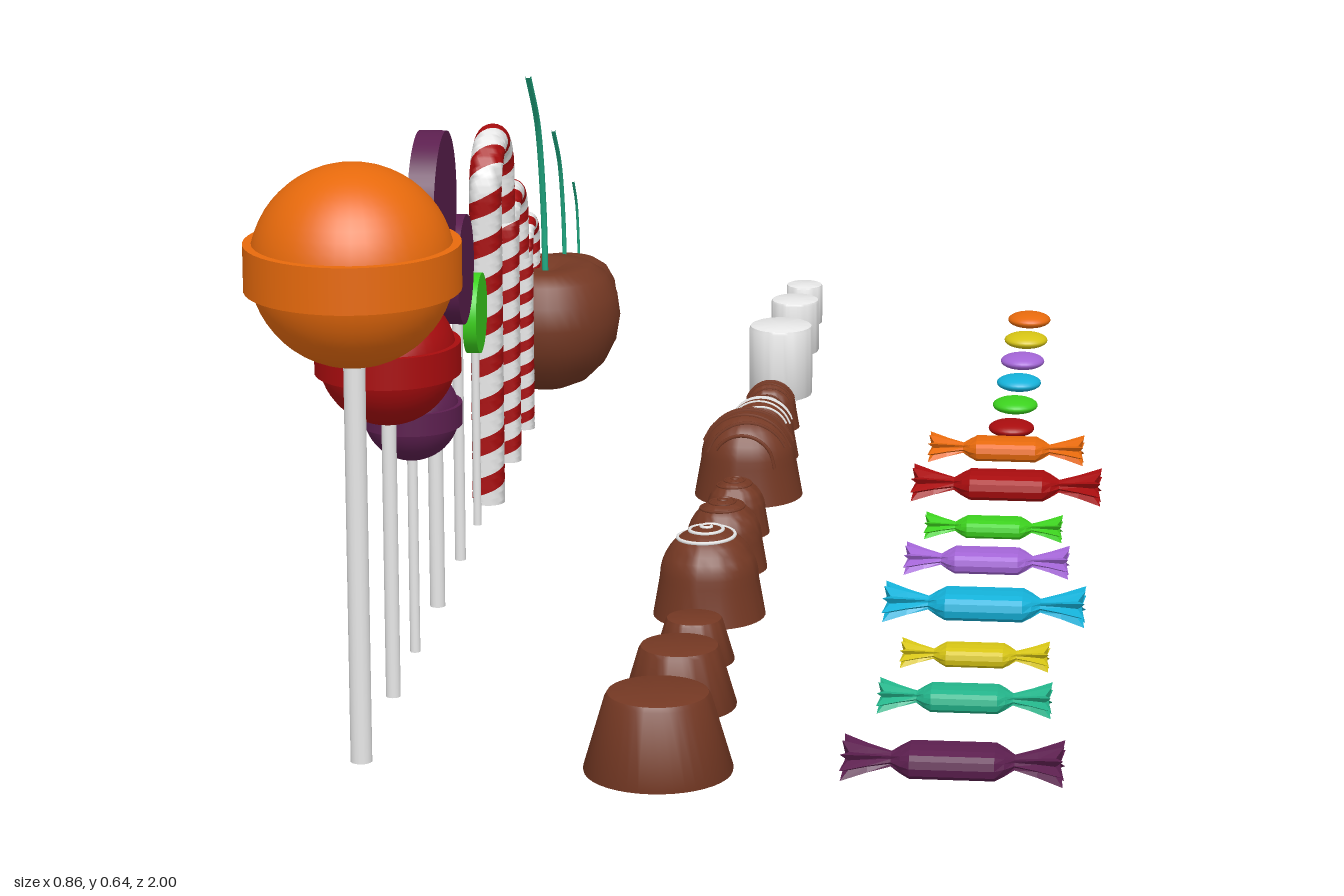
import * as THREE from 'three';
import { toCreasedNormals } from 'three/addons/utils/BufferGeometryUtils.js';

const colours = {
  orange: 0xe86a0c, red: 0xa80c0e, purple: 0x5c1f4f, chocolate: 0x743823, white: 0xe8e8e8,
  green: 0x3cd11e, lavender: 0xa365d6, cyan: 0x14b1d9, yellow: 0xd6c414, teal: 0x23b48a,
};

export function createModel() {
  const root = new THREE.Group();
  root.name = 'sweets';
  const M = {};
  for (const [name, hex] of Object.entries(colours)) {
    M[name] = new THREE.MeshStandardMaterial({ color: hex });
    M[name].name = name;
  }

  const group = (name, x, z) => {
    const g = new THREE.Group();
    g.name = name;
    g.position.set(x, 0, z);
    root.add(g);
    return g;
  };
  const add = (parent, name, geo, mat, y = 0) => {
    const m = new THREE.Mesh(geo, mat);
    m.name = name;
    m.position.y = y;
    parent.add(m);
    return m;
  };
  const lathe = (pts, s = 1, sy = s) => toCreasedNormals(
    new THREE.LatheGeometry(pts.map(([r, y]) => new THREE.Vector2(r * s, y * sy)), 40), 0.6);
  const tube = (pts, r, seg = 24) =>
    new THREE.TubeGeometry(new THREE.CatmullRomCurve3(pts), seg, r, 6);

  // Closed skin through rings of points; pick(j) chooses the material slot of column j
  const loft = (rings, pick = () => 0) => {
    const n = rings[0].length, last = rings.length - 1, slots = [[], []];
    const pts = rings.flat();
    const mid = (ring) => ring.reduce((a, p) => a.add(p), new THREE.Vector3()).divideScalar(n);
    const c0 = pts.push(mid(rings[0])) - 1, c1 = pts.push(mid(rings[last])) - 1;
    for (let j = 0; j < n; j++) {
      const k = (j + 1) % n, out = slots[pick(j)];
      out.push(c0, k, j, c1, last * n + j, last * n + k);
      for (let i = 0; i < last; i++) {
        const a = i * n + j, b = i * n + k;
        out.push(a, b, a + n, b, b + n, a + n);
      }
    }
    const g = new THREE.BufferGeometry().setFromPoints(pts);
    g.setIndex([...slots[0], ...slots[1]]);
    g.addGroup(0, slots[0].length, 0);
    g.addGroup(slots[0].length, slots[1].length, 1);
    return g;
  };

  const X = -0.319;
  const stick = (g, r, h) => add(g, 'stick', new THREE.CylinderGeometry(r, r, h, 16), M.white, h / 2);

  // Ball lollipops with a band round the middle
  for (const [mat, z, y, s] of [['orange', 0.888, 0.535, 1], ['red', 0.676, 0.382, 0.7], ['purple', 0.521, 0.276, 0.5]]) {
    const g = group('ballLollipop', X, z);
    stick(g, 0.0115 * s, y - 0.06 * s);
    add(g, 'ball', new THREE.SphereGeometry(0.106 * s, 40, 28), M[mat], y);
    add(g, 'band', new THREE.CylinderGeometry(0.112 * s, 0.112 * s, 0.049 * s, 48), M[mat], y);
  }

  // Flat lollipops, discs facing sideways
  for (const [mat, z, y, r, t] of [['purple', 0.354, 0.468, 0.087, 0.03], ['purple', 0.175, 0.352, 0.064, 0.022], ['green', 0.034, 0.263, 0.048, 0.016]]) {
    const g = group('flatLollipop', X, z);
    stick(g, r * 0.1, y - r * 0.7);
    add(g, 'disc', new THREE.CylinderGeometry(r, r, t, 48), M[mat], y).rotation.z = Math.PI / 2;
  }

  // Candy canes: a twisted sweep whose columns carry the stripes
  for (const [z, r, R, yc, drop] of [[-0.064, 0.0198, 0.0575, 0.38, 0.055], [-0.246, 0.0155, 0.044, 0.29, 0.05], [-0.394, 0.0125, 0.034, 0.2285, 0.033]]) {
    const length = yc + Math.PI * R + drop, pitch = r * 2.5, n = 16, rings = [];
    const steps = Math.round(length / pitch * 20);
    for (let i = 0; i <= steps; i++) {
      const s = length * i / steps;
      const a = THREE.MathUtils.clamp((s - yc) / R, 0, Math.PI);
      const y = Math.min(s, yc) + R * Math.sin(a) - Math.max(0, s - yc - Math.PI * R);
      const zz = R * (Math.cos(a) - 1);
      const T = new THREE.Vector3(0, Math.cos(a), -Math.sin(a));
      const U = new THREE.Vector3(1, 0, 0), V = T.clone().cross(U);
      rings.push(Array.from({ length: n }, (_, j) => {
        const th = 2 * Math.PI * (j / n + s / pitch);
        return new THREE.Vector3(0, y, zz).addScaledVector(U, r * Math.cos(th)).addScaledVector(V, r * Math.sin(th));
      }));
    }
    add(group('candyCane', X, z), 'stripedCane',
      toCreasedNormals(loft(rings, (j) => (j < 7 ? 1 : 0)), 0.9), [M.white, M.red]);
  }

  // Chocolate cherries with a curved stem
  const cherry = [[0, 0], [0.03, 0.001], [0.055, 0.012], [0.078, 0.035], [0.093, 0.065], [0.098, 0.095],
    [0.094, 0.125], [0.08, 0.15], [0.06, 0.163], [0.038, 0.164], [0.018, 0.156], [0, 0.15]];
  for (const [z, s, sy, dz, top] of [[-0.604, 1, 1, 0.149, 0.447], [-0.803, 0.715, 0.73, 0.108, 0.323], [-0.956, 0.455, 0.47, 0.057, 0.206]]) {
    const g = group('chocolateCherry', X, z), y0 = 0.15 * sy, h = top - y0;
    add(g, 'cherry', lathe(cherry, s, sy), M.chocolate);
    add(g, 'stem', tube([[0, 0], [0.08, 0.3], [0.39, 0.7], [1, 1]]
      .map(([a, b]) => new THREE.Vector3(0, y0 + h * b, dz * a)), 0.004 * s), M.teal);
  }

  const XC = -0.007;
  // Plain cup chocolates
  const cup = [[0, 0], [0.078, 0], [0.0785, 0.003], [0.056, 0.08], [0.053, 0.085], [0.047, 0.087], [0, 0.087]];
  for (const [z, s] of [[0.884, 1], [0.674, 0.79], [0.519, 0.57]]) {
    add(group('cupChocolate', XC, z), 'cup', lathe(cup, s), M.chocolate);
  }

  // Domed chocolates, topped with a spiral or with drizzled lines
  const domes = [
    [0.352, 0.064, 0.103, 'white', true], [0.174, 0.05, 0.082, 'chocolate', true], [0.032, 0.04, 0.066, 'chocolate', true],
    [-0.129, 0.066, 0.105, 'chocolate', false], [-0.297, 0.047, 0.074, 'white', false], [-0.431, 0.037, 0.059, 'chocolate', false],
  ];
  for (const [z, r, h, icing, spiral] of domes) {
    const g = group('domedChocolate', XC, z), R = r * 0.88, base = h * 0.43, wire = r * 0.035;
    const height = (d) => base + (h - base) * Math.sqrt(Math.max(0, 1 - (d / R) ** 2));
    const profile = [[0, 0], [r, 0]];
    for (let i = 0; i <= 10; i++) {
      const a = Math.PI / 2 * i / 10;
      profile.push([R * Math.cos(a), base + (h - base) * Math.sin(a)]);
    }
    add(g, 'dome', lathe(profile), M.chocolate);
    const onDome = (x, zz) => new THREE.Vector3(x, height(Math.hypot(x, zz)), zz);
    if (spiral) {
      const pts = Array.from({ length: 41 }, (_, i) => {
        const a = i / 40 * Math.PI * 5.5, d = R * (0.04 + 0.66 * i / 40);
        return onDome(d * Math.cos(a), d * Math.sin(a));
      });
      add(g, 'spiralIcing', tube(pts, wire, 120), M[icing]);
    } else {
      for (let k = -3; k <= 3; k++) {
        const zz = k * R * 0.25, half = Math.sqrt(R * R - zz * zz) * 0.93;
        const pts = Array.from({ length: 13 }, (_, i) => {
          const t = i / 6 - 1;
          return onDome(half * t, zz + R * 0.04 * t * (k % 2 ? 1 : -1));
        });
        add(g, 'drizzleLine', tube(pts, wire), M[icing]);
      }
    }
  }

  // Marshmallows
  for (const [z, r, h] of [[-0.584, 0.041, 0.095], [-0.804, 0.032, 0.073], [-0.956, 0.0245, 0.055]]) {
    const b = r * 0.12;
    add(group('marshmallow', XC, z), 'marshmallowBody',
      lathe([[0, 0], [r - b, 0], [r - b * 0.3, b * 0.3], [r, b], [r, h - b], [r - b * 0.3, h - b * 0.3], [r - b, h], [0, h]]), M.white);
  }

  // Candy buttons
  ['orange', 'yellow', 'lavender', 'cyan', 'green', 'red'].forEach((mat, i) => {
    const g = group('candyButton', 0.302, -0.963 + i * 0.1092);
    add(g, 'button', new THREE.SphereGeometry(0.029, 28, 16), M[mat], 0.01).scale.y = 0.35;
  });

  // Wrapped candies: [x, half width, half height, pleat depth] from the middle outwards
  const side = [[0.044, 0.032, 0.0165, 0], [0.054, 0.024, 0.012, 0.05], [0.064, 0.012, 0.007, 0.15],
    [0.088, 0.025, 0.012, 0.2], [0.115, 0.044, 0.0185, 0.25]];
  const sections = [...side.map(([x, ...rest]) => [-x, ...rest]).reverse(), ...side];
  const wrapper = loft(sections.map(([x, w, h, pleat]) => Array.from({ length: 16 }, (_, j) => {
    const a = 2 * Math.PI * j / 16, k = j % 2 ? 1 - pleat * 1.6 : 1;
    const box = (v) => Math.sign(v) * Math.abs(v) ** 0.75;
    const flare = Math.abs(x) > 0.1 && j % 2 ? 0.93 : 1;
    return new THREE.Vector3(x * flare, h * k * box(Math.cos(a)), w * k * box(Math.sin(a)));
  }))).toNonIndexed();
  wrapper.clearGroups();
  wrapper.computeVertexNormals();
  const candies = [['orange', 0.301, -0.298, 0.84], ['red', 0.309, -0.128, 1], ['green', 0.301, 0.032, 0.71], ['lavender', 0.3, 0.173, 0.83],
    ['cyan', 0.306, 0.35, 0.99], ['yellow', 0.304, 0.517, 0.71], ['teal', 0.301, 0.671, 0.81], ['purple', 0.3, 0.884, 1]];
  for (const [mat, x, z, s] of candies) {
    add(group('wrappedCandy', x, z), 'wrapper', wrapper, M[mat], 0.0195 * s).scale.setScalar(s);
  }

  return root;
}
